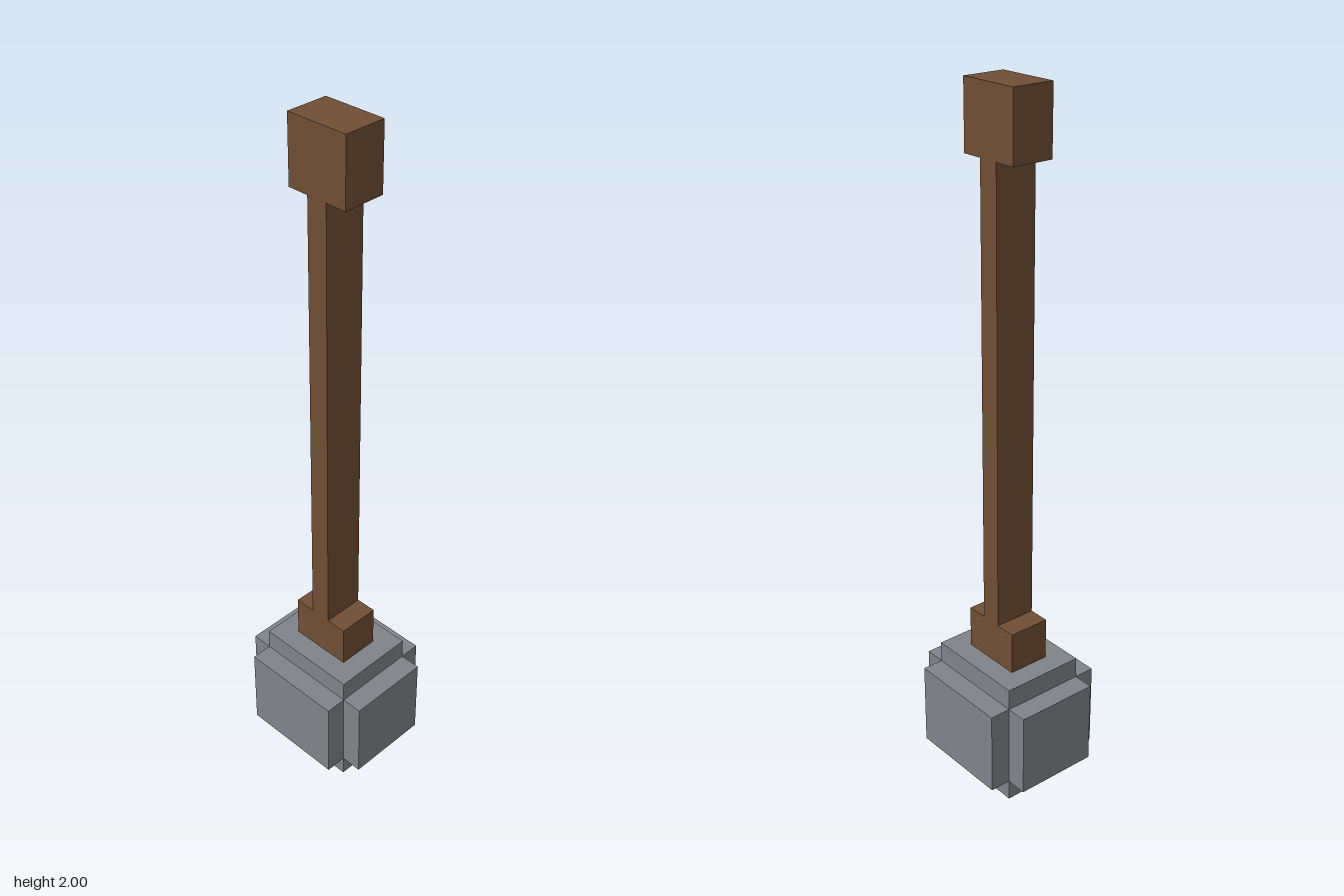
import * as THREE from 'three';

export function createModel() {
  const group = new THREE.Group();
  const stone = new THREE.MeshStandardMaterial({ color: 0x7f8387 });
  stone.name = 'grey stone';
  const wood = new THREE.MeshStandardMaterial({ color: 0x6f4e34 });
  wood.name = 'brown wood';

  // Box centred on the y axis, spanning bottom to top
  function block(name, material, width, depth, bottom, top) {
    const mesh = new THREE.Mesh(new THREE.BoxGeometry(width, top - bottom, depth), material);
    mesh.name = name;
    mesh.position.y = (bottom + top) / 2;
    group.add(mesh);
  }

  // Hammer head: three crossing blocks leave stepped edges
  block('headCore', stone, 0.25, 0.3125, 0, 0.375);
  block('headSides', stone, 0.375, 0.3125, 0.0625, 0.3125);
  block('headFrontBack', stone, 0.25, 0.4375, 0.0625, 0.3125);

  // Handle: collar, slim shaft and pommel
  block('collar', wood, 0.125, 0.1875, 0.375, 0.5);
  block('shaft', wood, 0.125, 0.0625, 0.5, 1.8125);
  block('pommel', wood, 0.125, 0.1875, 1.8125, 2);

  return group;
}
